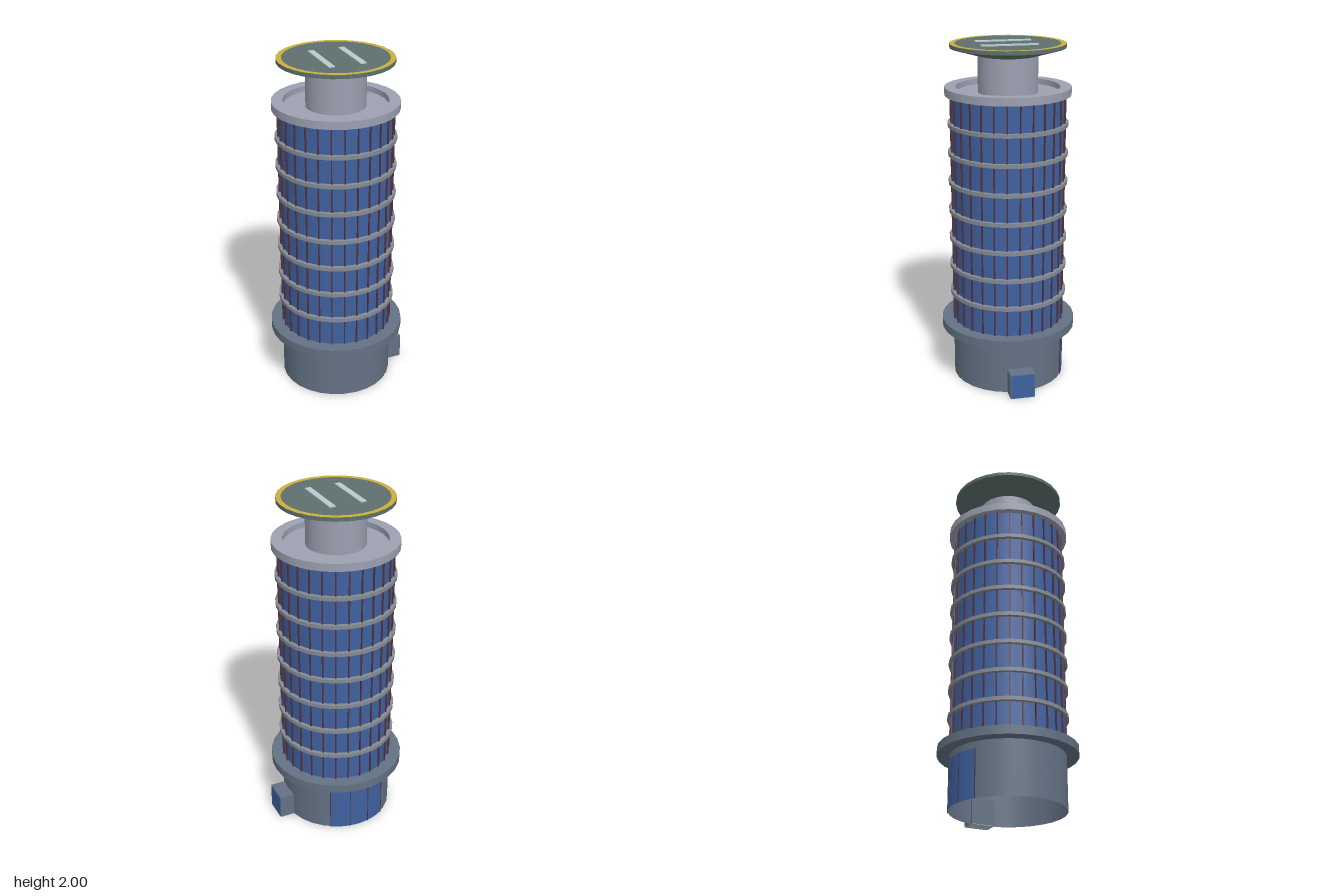
import * as THREE from 'three';

const SIDES = 28;

export function createModel() {
  const model = new THREE.Group();
  model.name = 'roundTower';
  const tower = new THREE.Group();
  tower.name = 'tower';
  tower.position.x = -0.0075;
  model.add(tower);

  const mat = (name, color, side = THREE.FrontSide) => {
    const m = new THREE.MeshStandardMaterial({ color, side });
    m.name = name;
    return m;
  };
  const slate = mat('slate', 0x647284, THREE.DoubleSide);
  const glass = mat('blue glass', 0x3f61a0, THREE.DoubleSide);
  const pale = mat('pale grey', 0x9ca1b1);
  const trim = mat('trim grey', 0x858b93);
  const brown = mat('mullion brown', 0x55303a);
  const green = mat('deck green', 0x5e706d);
  const yellow = mat('yellow', 0xcbb03b);
  const light = mat('light marking', 0xb8cbce);

  const add = (name, geometry, material, x = 0, y = 0, z = 0, parent = tower) => {
    const mesh = new THREE.Mesh(geometry, material);
    mesh.name = name;
    mesh.position.set(x, y, z);
    parent.add(mesh);
    return mesh;
  };
  // Upright round part between two heights
  const drum = (name, r0, r1, y0, y1, material, open = false) =>
    add(name, new THREE.CylinderGeometry(r1, r0, y1 - y0, SIDES, 1, open), material, 0, (y0 + y1) / 2);
  const box = (name, size, pos, material, parent) =>
    add(name, new THREE.BoxGeometry(...size), material, ...pos, parent);

  // Hollow base and the ledge that caps it
  drum('baseWall', 0.328, 0.328, 0, 0.31, slate, true);
  drum('baseLedge', 0.3975, 0.3975, 0.31, 0.36, slate);

  // Curved shop window on the back of the base
  const half = THREE.MathUtils.degToRad(31);
  add('backWindow', new THREE.CylinderGeometry(0.331, 0.331, 0.272, 6, 1, true, Math.PI - half, half * 2),
    glass, 0, 0.136);
  for (const a of [-31, -10.3, 10.3, 31]) {
    const t = Math.PI + THREE.MathUtils.degToRad(a);
    const bar = box('backWindowBar', [0.004, 0.272, 0.004],
      [0.331 * Math.sin(t), 0.136, 0.331 * Math.cos(t)], brown);
    bar.rotation.y = t;
  }

  // Glazed shaft with upright mullions
  drum('glazedShaft', 0.323, 0.323, 0.36, 1.71, glass, true);
  for (let i = 0; i < SIDES; i++) {
    const t = (i / SIDES) * Math.PI * 2;
    const bar = box('mullion', [0.007, 1.35, 0.014],
      [0.324 * Math.sin(t), 1.035, 0.324 * Math.cos(t)], brown);
    bar.rotation.y = t;
  }

  // Floor bands
  for (let i = 0; i < 7; i++) {
    const y = 0.532 + i * 0.1685;
    drum('floorBand', 0.345, 0.345, y - 0.011, y + 0.011, trim);
  }

  // Crown: parapet around a sunken roof
  const parapet = [[0, 1.71], [0.36, 1.71], [0.36, 1.71], [0.36, 1.755], [0.36, 1.755], [0.296, 1.755],
    [0.296, 1.755], [0.296, 1.722], [0.296, 1.722], [0, 1.722]].map(([r, y]) => new THREE.Vector2(r, y));
  // Each flat stretch is lathed alone so its corners stay sharp
  const crown = new THREE.Group();
  crown.name = 'crown';
  tower.add(crown);
  for (let i = 0; i < parapet.length; i += 2)
    add('crownFace', new THREE.LatheGeometry([parapet[i], parapet[i + 1]], SIDES), pale, 0, 0, 0, crown);

  // Landing deck on its column
  drum('deckColumn', 0.17, 0.17, 1.72, 1.935, pale);
  drum('deckCone', 0.17, 0.327, 1.93, 1.974, green);
  drum('deckSlab', 0.327, 0.327, 1.974, 1.994, green);
  const ring = add('deckRing', new THREE.RingGeometry(0.298, 0.327, SIDES, 1), yellow, 0, 1.997);
  ring.rotation.x = -Math.PI / 2;

  // Painted touchdown bars
  for (const x of [-0.09, 0.091])
    box('touchdownBar', [0.035, 0.007, 0.322], [x, 1.9965, 0.01], light);

  // Entrance porch on the left side
  const porch = new THREE.Group();
  porch.name = 'entrancePorch';
  model.add(porch);
  box('porchBody', [0.1, 0.148, 0.145], [0.35, 0.076, 0], slate, porch);
  box('porchGlass', [0.005, 0.144, 0.138], [0.4015, 0.075, 0], glass, porch);
  box('porchFloor', [0.1, 0.004, 0.14], [0.35, 0.002, 0], light, porch);

  return model;
}
